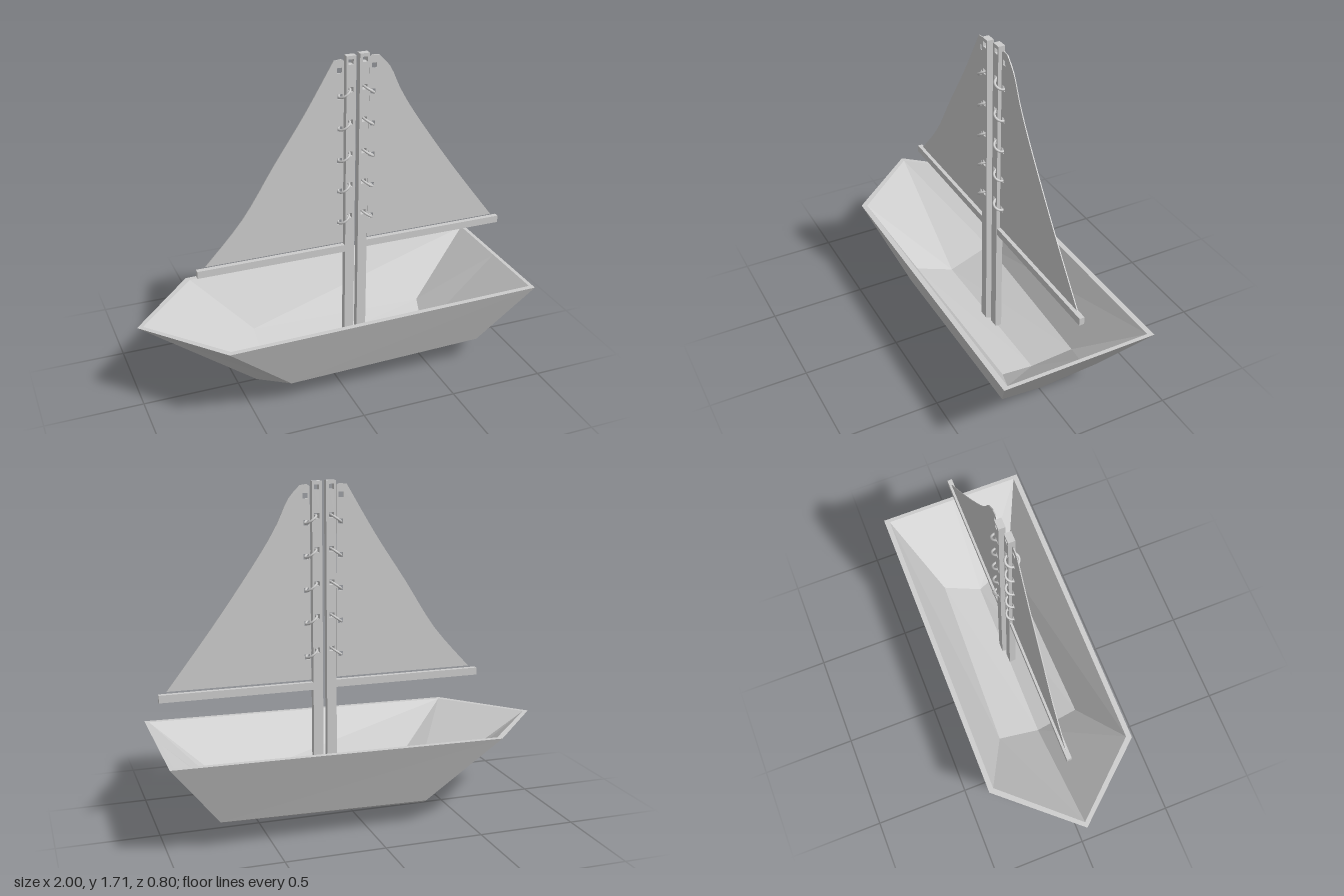
import * as THREE from 'three';

const grey = new THREE.MeshStandardMaterial({ color: 0xcccccc, flatShading: true, side: THREE.DoubleSide });
const smooth = new THREE.MeshStandardMaterial({ color: 0xcccccc });
const MID = 0.148; // x of the gap between the two masts
const RING_Y = [0.86, 1.03, 1.195, 1.36, 1.525];

function add(group, name, geometry, material = grey) {
  const mesh = new THREE.Mesh(geometry, material);
  mesh.name = name;
  group.add(mesh);
  return mesh;
}

// Flat panel in the xy plane with small square holes, centred on z
function panel(points, holes, depth, z) {
  const shape = new THREE.Shape(points.map(([x, y]) => new THREE.Vector2(x, y)));
  const h = 0.013;
  for (const [x, y] of holes) {
    shape.holes.push(new THREE.Path([
      new THREE.Vector2(x - h, y - h), new THREE.Vector2(x - h, y + h),
      new THREE.Vector2(x + h, y + h), new THREE.Vector2(x + h, y - h),
    ]));
  }
  return new THREE.ExtrudeGeometry(shape, { depth, bevelEnabled: false }).translate(0, 0, z - depth / 2);
}

// Hull shell: outer skin, inner skin and rim, given for +z and mirrored to -z
function hullGeometry() {
  const outer = {
    bow: [-1, 0.45, 0], rimBow: [-0.65, 0.45, 0.4], rimStern: [1, 0.47, 0.4], rimMid: [1, 0.47, 0],
    chineBow: [-0.3, 0.12, 0.27], chineStern: [0.75, 0.14, 0.27],
    keelBow: [-0.4, 0, 0], keelStern: [0.665, 0.025, 0],
  };
  const inner = {
    bow: [-0.97, 0.45, 0], rimBow: [-0.635, 0.45, 0.373], rimStern: [0.98, 0.47, 0.373], rimMid: [0.98, 0.47, 0],
    chineBow: [-0.335, 0.165, 0.225], chineStern: [0.62, 0.16, 0.197],
    keelBow: [-0.345, 0.07, 0], keelStern: [0.565, 0.085, 0],
  };
  const skin = [
    ['chineBow', 'chineStern', 'rimStern', 'rimBow'],
    ['keelBow', 'keelStern', 'chineStern', 'chineBow'],
    ['bow', 'keelBow', 'chineBow', 'rimBow'],
    ['chineStern', 'keelStern', 'rimMid', 'rimStern'],
  ];
  const quads = [];
  for (const names of skin) {
    quads.push(names.map((n) => outer[n]));
    quads.push(names.map((n) => inner[n]).reverse());
  }
  const rim = ['bow', 'rimBow', 'rimStern', 'rimMid'];
  for (let i = 0; i < 3; i++) {
    quads.push([outer[rim[i]], outer[rim[i + 1]], inner[rim[i + 1]], inner[rim[i]]]);
  }
  const positions = [];
  for (const q of quads) {
    const mirrored = q.map(([x, y, z]) => [x, y, -z]).reverse();
    for (const [a, b, c, d] of [q, mirrored]) positions.push(...a, ...b, ...c, ...a, ...c, ...d);
  }
  const geometry = new THREE.BufferGeometry();
  geometry.setAttribute('position', new THREE.Float32BufferAttribute(positions, 3));
  geometry.computeVertexNormals();
  return geometry;
}

// One mast with its boom, sail and lacing rings; s = -1 towards the bow, +1 towards the stern
function rig(s, z, boomEnd, leech) {
  const group = new THREE.Group();
  group.name = s < 0 ? 'foreRig' : 'aftRig';
  const X = (u) => MID + s * u;

  // Mast with a row of square eyelets
  const mastHoles = [...RING_Y.map((y) => [X(0.04), y + 0.018]), [X(0.04), 1.68]];
  add(group, 'mast', panel([[X(0.013), 0.06], [X(0.063), 0.06], [X(0.063), 1.71], [X(0.013), 1.71]],
    mastHoles, 0.034, z));

  // Boom
  const boomStart = X(0.06);
  add(group, 'boom', new THREE.BoxGeometry(Math.abs(boomEnd - boomStart), 0.038, 0.026)
    .translate((boomEnd + boomStart) / 2, 0.695, z));

  // Sail with a gently curved outer edge
  const curve = new THREE.SplineCurve(leech.map(([x, y]) => new THREE.Vector2(x, y)));
  const edge = curve.getPoints(16).map((p) => [p.x, p.y]);
  const sailHoles = [...RING_Y.map((y) => [X(0.09), y - 0.015]), [X(0.093), 1.64]];
  add(group, 'sail', panel([[X(0.07), 0.727], ...edge, [X(0.085), 1.695], [X(0.07), 1.685]],
    sailHoles, 0.005, z));

  // Tilted rings lacing sail to mast
  for (const y of RING_Y) {
    const ring = add(group, 'ring', new THREE.TorusGeometry(0.033, 0.006, 8, 24).rotateX(Math.PI / 2), smooth);
    ring.position.set(X(0.066), y, z);
    ring.rotation.z = -s * 0.62;
  }
  return group;
}

export function createModel() {
  const boat = new THREE.Group();
  boat.name = 'sailboat';
  add(boat, 'hull', hullGeometry());
  boat.add(rig(-1, 0.016, -0.69,
    [[-0.645, 0.727], [-0.45, 0.945], [-0.285, 1.2], [-0.125, 1.44], [0.025, 1.69]]));
  boat.add(rig(1, 0, 0.98,
    [[0.94, 0.727], [0.7, 1.04], [0.49, 1.335], [0.39, 1.495], [0.33, 1.62], [0.268, 1.69]]));
  return boat;
}
